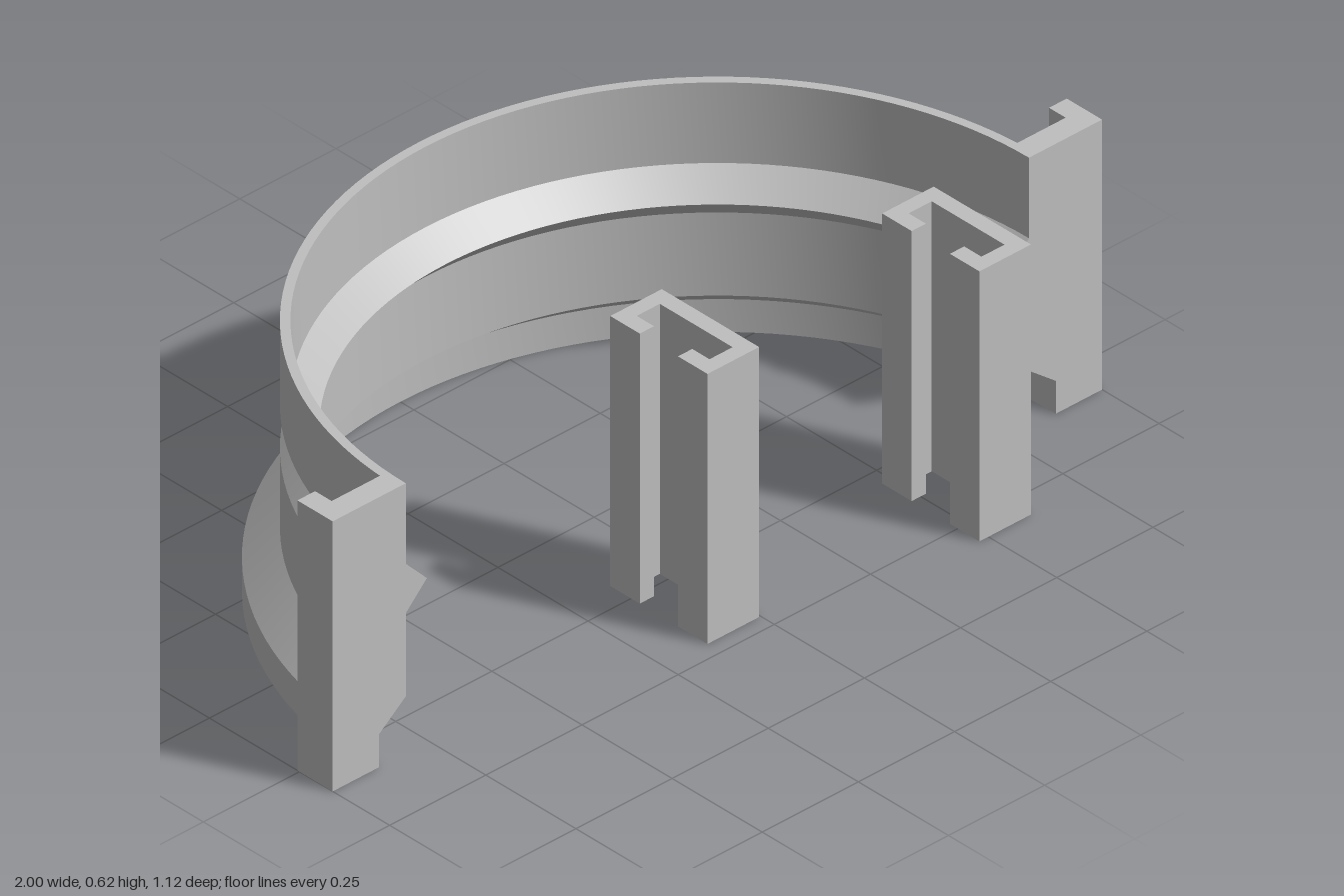
import * as THREE from 'three';
import { toCreasedNormals } from 'three/addons/utils/BufferGeometryUtils.js';

const HEIGHT = 0.617;
const FRONT = 0.342; // z of the flat front ends and of the ring axis

// Ring wall cross-section as [radius, y]
const outer = [[0.902, 0], [0.902, 0.077], [0.83, 0.146], [0.83, 0.326],
  [0.782, 0.375], [0.83, 0.425], [0.83, HEIGHT]];
const inner = [[0.81, HEIGHT], [0.81, 0.433], [0.755, 0.375], [0.81, 0.32],
  [0.81, 0.13], [0.88, 0.075], [0.88, 0]];

const toShape = (points, side = 1) =>
  new THREE.Shape(points.map(([x, y]) => new THREE.Vector2(x * side, y)));

export function createModel() {
  const model = new THREE.Group();
  const grey = new THREE.MeshStandardMaterial({ color: 0xbfbfbf });
  grey.name = 'light grey';

  const add = (name, geometry, x = 0, y = 0, z = 0) => {
    const mesh = new THREE.Mesh(geometry, grey);
    mesh.name = name;
    mesh.position.set(x, y, z);
    model.add(mesh);
    return mesh;
  };

  // Half ring swept around the back
  const profile = [...outer, ...inner];
  const loop = [...profile, profile[0]].map(([r, y]) => new THREE.Vector2(r, y));
  const ring = new THREE.LatheGeometry(loop, 72, Math.PI / 2, Math.PI);
  add('halfRing', toCreasedNormals(ring, 0.4), 0, 0, FRONT);

  for (const side of [1, -1]) {
    const label = side > 0 ? 'left' : 'right';

    // Flat cut face closing the ring wall
    add(label + 'RingEnd', new THREE.ShapeGeometry(toShape(profile, side)), 0, 0, FRONT);

    // Flange whose inner edge follows the ring's outside
    const outline = [...outer.map(([r, y]) => [r - 0.004, y]), [1, HEIGHT], [1, 0]];
    const flange = new THREE.ExtrudeGeometry(toShape(outline, side),
      { depth: 0.052, bevelEnabled: false });
    add(label + 'Flange', flange, 0, 0, FRONT - 0.052);

    // Lip turned back along the flange's outer edge
    add(label + 'FlangeLip', new THREE.BoxGeometry(0.046, HEIGHT, 0.046),
      side * 0.977, HEIGHT / 2, 0.267);
  }

  // Upright C-channels, open towards -x; section drawn as [x, -z]
  const section = [[0, 0], [0.134, 0], [0.134, -0.27], [0, -0.27], [0, -0.188],
    [0.037, -0.188], [0.037, -0.236], [0.097, -0.236], [0.097, -0.034],
    [0.037, -0.034], [0.037, -0.082], [0, -0.082]];
  const channel = new THREE.ExtrudeGeometry(toShape(section),
    { depth: HEIGHT, bevelEnabled: false });
  channel.rotateX(-Math.PI / 2);
  add('innerChannel', channel, -0.138, 0, 0.192);
  add('frontChannel', channel, 0.477, 0, 0.29);

  return model;
}
